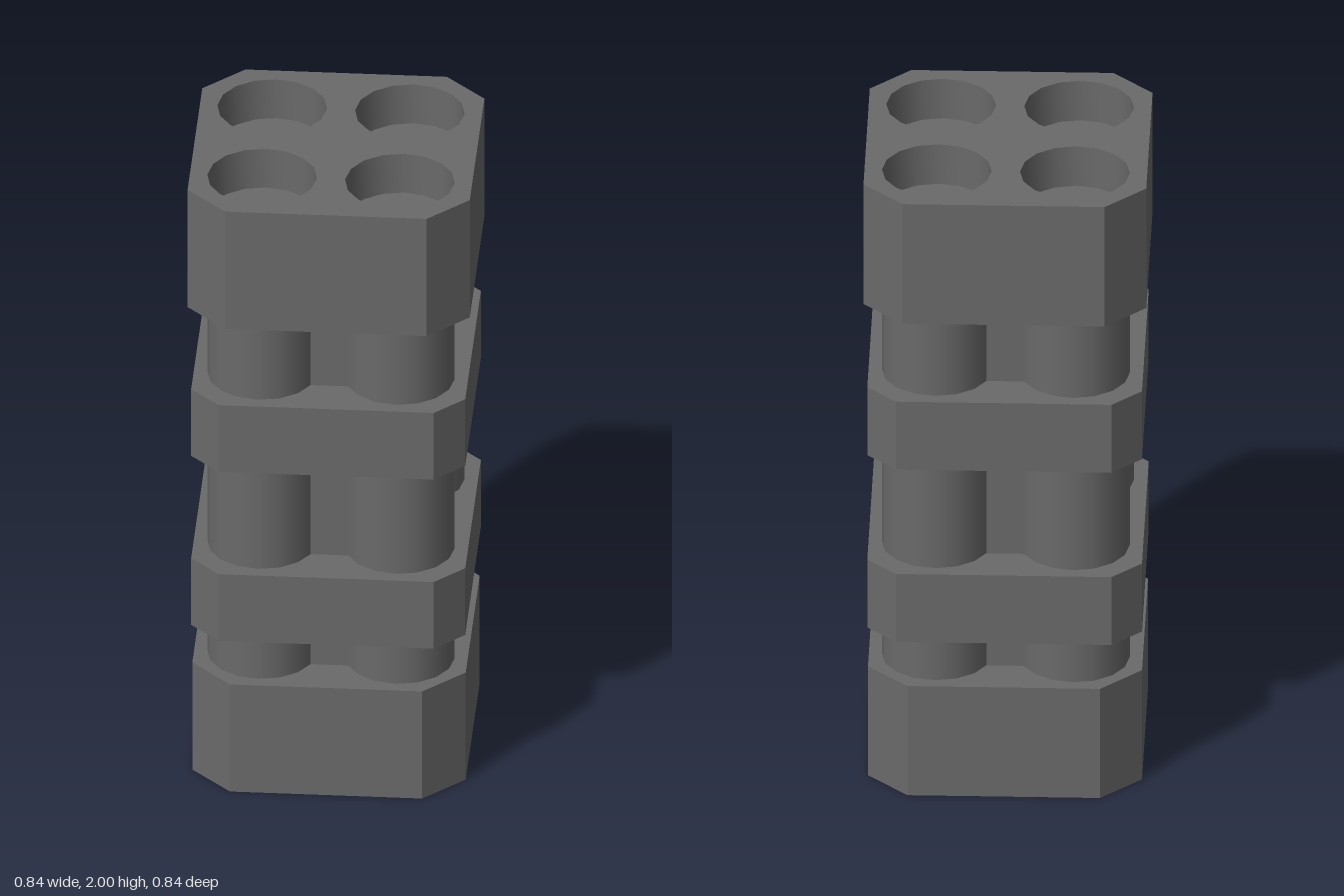
import * as THREE from 'three';
import { toCreasedNormals } from 'three/addons/utils/BufferGeometryUtils.js';

const SIDES = 16;
const TUBE_RADIUS = 0.163;
const TUBE_OFFSET = 0.205;
const CORNERS = [[1, 1], [-1, 1], [-1, -1], [1, -1]];

// Square block with chamfered corners: half = half width, flat = half length of each straight side
function chamferedBlock(name, material, half, flat, bottom, top, holes = []) {
  const outline = [
    [half, -flat], [half, flat], [flat, half], [-flat, half],
    [-half, flat], [-half, -flat], [-flat, -half], [flat, -half],
  ].map(([x, y]) => new THREE.Vector2(x, y));
  const shape = new THREE.Shape(outline);
  shape.holes.push(...holes);
  const extruded = new THREE.ExtrudeGeometry(shape, { depth: top - bottom, bevelEnabled: false });
  extruded.rotateX(-Math.PI / 2);
  const mesh = new THREE.Mesh(toCreasedNormals(extruded, 0.5), material);
  mesh.name = name;
  mesh.position.y = bottom;
  return mesh;
}

// Round opening above one tube
function tubeHole(cx, cy) {
  const points = [];
  for (let i = 0; i < SIDES; i++) {
    const a = -(i / SIDES) * Math.PI * 2;
    points.push(new THREE.Vector2(cx + TUBE_RADIUS * Math.cos(a), cy + TUBE_RADIUS * Math.sin(a)));
  }
  return new THREE.Path(points);
}

export function createModel() {
  const group = new THREE.Group();
  group.name = 'fourTubeCluster';
  const material = new THREE.MeshStandardMaterial({ color: 0x6a6a6a });

  // Base, two clamping bands and the drilled top cap
  const holes = CORNERS.map(([sx, sz]) => tubeHole(sx * TUBE_OFFSET, sz * TUBE_OFFSET));
  group.add(
    chamferedBlock('base', material, 0.407, 0.286, 0, 0.368),
    chamferedBlock('lowerBand', material, 0.408, 0.32, 0.517, 0.746),
    chamferedBlock('upperBand', material, 0.408, 0.32, 1.098, 1.327),
    chamferedBlock('topCap', material, 0.42, 0.3, 1.597, 2, holes),
  );

  // Square core that fills the gaps between the tubes
  const core = new THREE.Mesh(new THREE.BoxGeometry(0.54, 1.3, 0.54), material);
  core.name = 'core';
  core.position.y = 0.97;
  group.add(core);

  // Four tubes; their tops form the floors of the recesses in the cap
  const tubeBottom = 0.3;
  const tubeTop = 1.867;
  const tubeGeometry = new THREE.CylinderGeometry(TUBE_RADIUS, TUBE_RADIUS, tubeTop - tubeBottom, SIDES);
  CORNERS.forEach(([sx, sz], i) => {
    const tube = new THREE.Mesh(tubeGeometry, material);
    tube.name = `tube${i + 1}`;
    tube.position.set(sx * TUBE_OFFSET, (tubeBottom + tubeTop) / 2, sz * TUBE_OFFSET);
    group.add(tube);
  });

  return group;
}
